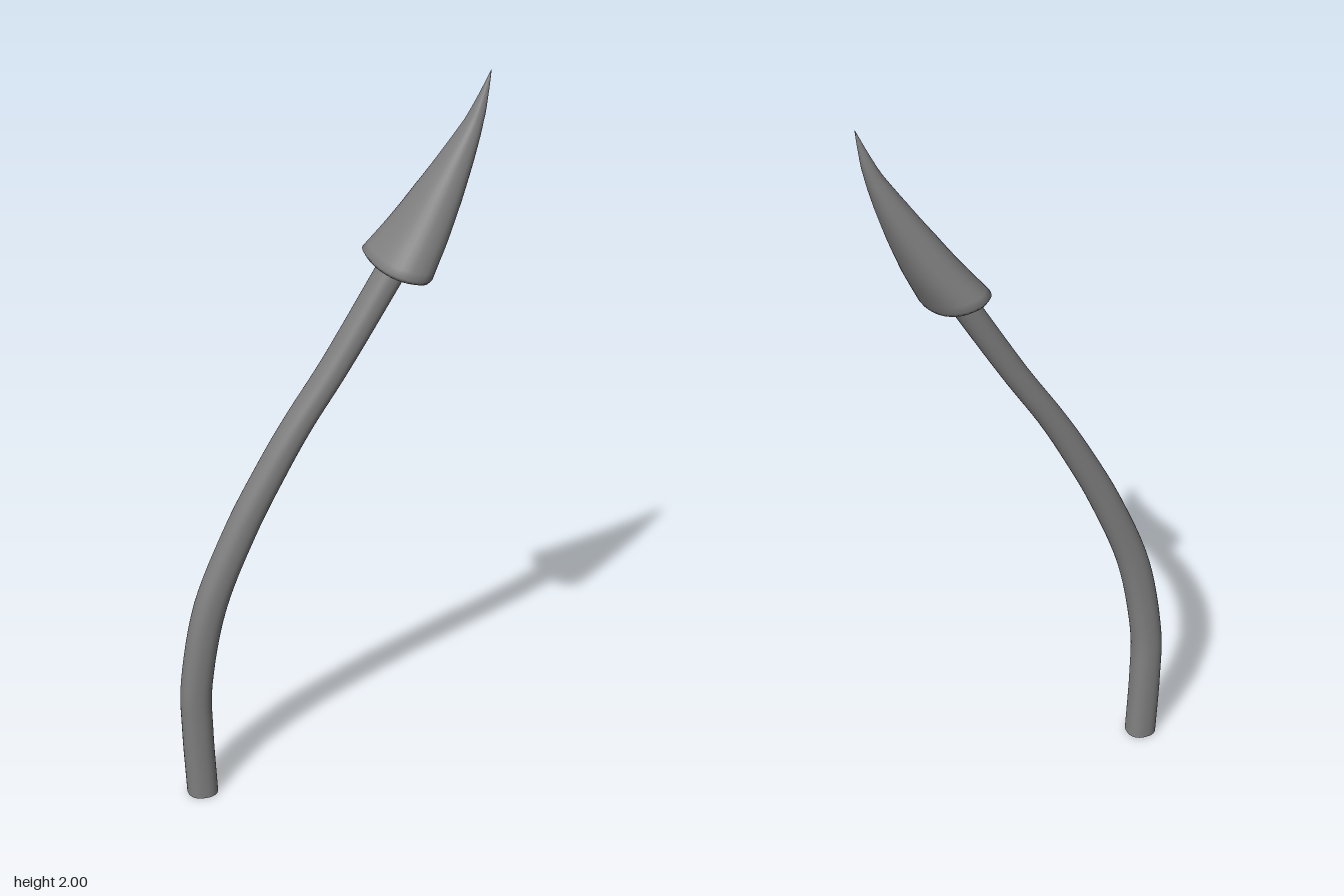
import * as THREE from 'three';

const SIDES = 32;

// Slightly squared sine and cosine for the cross-sections
const squared = (v) => Math.sign(v) * Math.abs(v) ** 0.85;

// Lofted skin through sections { x, y, z, rx, rz, tilt, skew }
function loft(sections, material, name) {
  const pos = [], index = [];
  const w = SIDES + 1;
  sections.forEach((s) => {
    for (let j = 0; j <= SIDES; j++) {
      const a = (j / SIDES) * Math.PI * 2;
      const dz = squared(Math.sin(a)) * s.rz;
      const dx = squared(Math.cos(a)) * s.rx + s.skew * dz;
      pos.push(s.x + dx, s.y - s.tilt * (dx + 0.35 * dz), s.z + dz);
    }
  });
  for (let i = 0; i < sections.length - 1; i++) {
    for (let j = 0; j < SIDES; j++) {
      const a = i * w + j, b = a + w;
      index.push(a, b, a + 1, b, b + 1, a + 1);
    }
  }
  const geo = new THREE.BufferGeometry();
  geo.setAttribute('position', new THREE.Float32BufferAttribute(pos, 3));
  geo.setIndex(index);
  geo.computeVertexNormals();
  // Share normals across the side seam
  const n = geo.attributes.normal;
  for (let i = 0; i < sections.length; i++) {
    const a = i * w, b = a + SIDES;
    const v = new THREE.Vector3().fromBufferAttribute(n, a)
      .add(new THREE.Vector3().fromBufferAttribute(n, b)).normalize();
    n.setXYZ(a, v.x, v.y, v.z);
    n.setXYZ(b, v.x, v.y, v.z);
  }
  const mesh = new THREE.Mesh(geo, material);
  mesh.name = name;
  return mesh;
}

// Smoothly resample key rows [x, y, z, rx, rz, tilt, skew]
function resample(rows, count) {
  const centre = new THREE.CatmullRomCurve3(
    rows.map(([x, y, z]) => new THREE.Vector3(x, y, z)), false, 'catmullrom', 0.5);
  return Array.from({ length: count + 1 }, (_, i) => {
    const t = i / count, c = centre.getPoint(t);
    const f = t * (rows.length - 1), k = Math.min(Math.floor(f), rows.length - 2);
    const mix = (m) => THREE.MathUtils.lerp(rows[k][m], rows[k + 1][m], f - k);
    return { x: c.x, y: c.y, z: c.z, rx: mix(3), rz: mix(4), tilt: mix(5), skew: mix(6) };
  });
}

export function createModel() {
  const group = new THREE.Group();
  group.name = 'bentArrow';
  const material = new THREE.MeshStandardMaterial({ color: 0x808080, side: THREE.DoubleSide });

  // Curved hollow shaft, flattening slightly as it leans over
  group.add(loft(resample([
    [-0.359, 0, -0.033, 0.042, 0.042, 0, 0],
    [-0.368, 0.2, -0.031, 0.042, 0.042, 0, 0],
    [-0.367, 0.36, -0.026, 0.042, 0.042, 0.05, 0],
    [-0.327, 0.59, -0.017, 0.042, 0.042, 0.15, 0],
    [-0.242, 0.81, -0.01, 0.04, 0.042, 0.2, 0],
    [-0.157, 0.98, -0.005, 0.038, 0.042, 0.2, 0],
    [-0.083, 1.11, -0.002, 0.036, 0.042, 0.2, 0],
    [0.02, 1.27, 0.001, 0.035, 0.042, 0.2, 0],
    [0.175, 1.53, 0.002, 0.035, 0.042, 0.24, 0],
  ], 48), material, 'shaft'));

  // Arrowhead, a cone bending upright toward its tip
  const cone = resample([
    [0.175, 1.52, 0, 0.073, 0.107, 0.24, 0.16],
    [0.23, 1.607, 0, 0.064, 0.087, 0.2, 0.13],
    [0.28, 1.697, 0, 0.053, 0.067, 0.15, 0.1],
    [0.327, 1.787, 0, 0.039, 0.047, 0.1, 0.05],
    [0.369, 1.875, 0, 0.022, 0.027, 0.05, 0],
    [0.392, 1.94, 0, 0.011, 0.013, 0, 0],
    [0.41, 2, 0, 0.0005, 0.0005, 0, 0],
  ], 30);
  // Bevelled underside running in to the shaft
  const rim = cone[0];
  const bevel = { ...rim, y: rim.y - 0.012, rx: 0.066, rz: 0.098 };
  const hub = { ...bevel, rx: 0.0005, rz: 0.0005 };
  group.add(loft([hub, bevel, ...cone], material, 'arrowhead'));

  return group;
}
